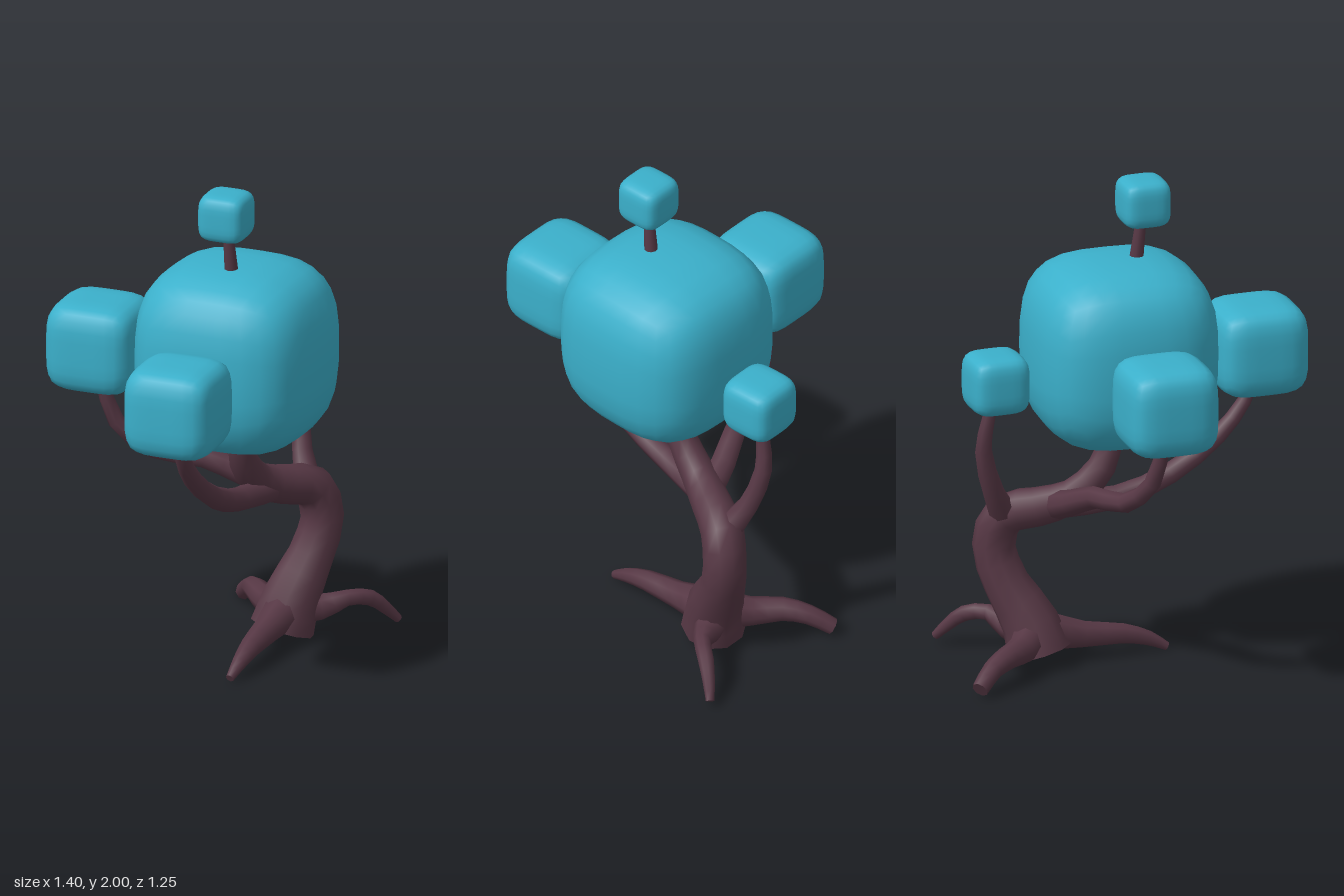
import * as THREE from 'three';
import { mergeVertices, toCreasedNormals } from 'three/addons/utils/BufferGeometryUtils.js';

const bark = new THREE.MeshStandardMaterial({ name: 'bark', color: 0x573845 });
const leaf = new THREE.MeshStandardMaterial({ name: 'leaf', color: 0x3bb0cb });

// Tapered tube through points [x, y, z, radius], capped at both ends
function limb(name, points, sides = 8) {
  const curve = new THREE.CatmullRomCurve3(points.map(p => new THREE.Vector3(p[0], p[1], p[2])));
  // Sample by control point so that the radii line up with the points
  curve.getPointAt = curve.getPoint;
  curve.getTangentAt = curve.getTangent;
  const spans = points.length - 1;
  const segments = spans * 2;
  const geo = new THREE.TubeGeometry(curve, segments, 1, sides);
  const pos = geo.attributes.position;
  const v = new THREE.Vector3();
  for (let i = 0; i <= segments; i++) {
    const center = curve.getPoint(i / segments);
    const k = Math.min(Math.floor(i / 2), spans - 1);
    const radius = THREE.MathUtils.lerp(points[k][3], points[k + 1][3], i / 2 - k);
    for (let j = 0; j <= sides; j++) {
      const n = i * (sides + 1) + j;
      v.fromBufferAttribute(pos, n).sub(center).multiplyScalar(radius).add(center);
      pos.setXYZ(n, v.x, v.y, v.z);
    }
  }
  const index = Array.from(geo.index.array);
  const last = segments * (sides + 1);
  for (let j = 1; j < sides - 1; j++) {
    index.push(0, j, j + 1, last, last + j + 1, last + j);
  }
  geo.setIndex(index);
  const mesh = new THREE.Mesh(toCreasedNormals(geo, 0.9), bark);
  mesh.name = name;
  return mesh;
}

// Soft cube: a box grid pushed out onto a superellipsoid
function foliage(name, center, width, height, power, degrees) {
  let geo = new THREE.BoxGeometry(2, 2, 2, 8, 8, 8);
  geo.deleteAttribute('uv');
  geo.deleteAttribute('normal');
  geo = mergeVertices(geo);
  const pos = geo.attributes.position;
  for (let i = 0; i < pos.count; i++) {
    const p = [pos.getX(i), pos.getY(i), pos.getZ(i)];
    const norm = Math.pow(p.reduce((s, c) => s + Math.pow(Math.abs(c), power), 0), 1 / power);
    pos.setXYZ(i, p[0] / norm * width / 2, p[1] / norm * height / 2, p[2] / norm * width / 2);
  }
  geo.computeVertexNormals();
  const mesh = new THREE.Mesh(geo, leaf);
  mesh.name = name;
  mesh.position.set(...center);
  mesh.rotation.y = THREE.MathUtils.degToRad(degrees);
  return mesh;
}

export function createModel() {
  const tree = new THREE.Group();
  tree.name = 'tree';

  // Bent trunk, running up through the crown to the top tuft
  tree.add(limb('trunk', [
    [0.21, 0.05, -0.13, 0.13], [0.25, 0.17, -0.13, 0.115], [0.345, 0.33, -0.15, 0.092],
    [0.395, 0.48, -0.155, 0.086], [0.35, 0.61, -0.15, 0.086], [0.22, 0.65, -0.12, 0.08],
    [0.09, 0.70, -0.08, 0.07], [-0.01, 0.82, -0.02, 0.058], [-0.04, 0.96, 0.01, 0.045],
    [-0.075, 1.30, 0.05, 0.038], [-0.105, 1.62, 0.085, 0.03], [-0.13, 1.85, 0.095, 0.02],
  ], 10));

  // Branches
  tree.add(limb('frontBranch', [
    [0.16, 0.66, -0.10, 0.06], [-0.05, 0.68, 0.03, 0.05], [-0.22, 0.76, 0.17, 0.045],
    [-0.37, 0.90, 0.29, 0.038], [-0.45, 1.03, 0.365, 0.03], [-0.48, 1.14, 0.40, 0.025],
  ]));
  tree.add(limb('backBranch', [
    [0.16, 0.66, -0.11, 0.06], [0.05, 0.71, -0.18, 0.052], [-0.08, 0.77, -0.24, 0.045],
    [-0.25, 0.80, -0.33, 0.04], [-0.39, 0.92, -0.385, 0.034], [-0.45, 1.12, -0.40, 0.025],
  ]));
  tree.add(limb('sideBranch', [
    [0.34, 0.60, -0.16, 0.06], [0.352, 0.73, -0.25, 0.043], [0.37, 0.92, -0.31, 0.035],
    [0.35, 1.05, -0.31, 0.028], [0.33, 1.15, -0.30, 0.024],
  ]));

  // Roots
  tree.add(limb('frontRoot', [
    [0.20, 0.13, -0.10, 0.08], [0.08, 0.10, 0.0, 0.055], [-0.04, 0.085, 0.11, 0.042],
    [-0.12, 0.055, 0.18, 0.03], [-0.18, 0.015, 0.225, 0.017],
  ]));
  tree.add(limb('sideRoot', [
    [0.25, 0.13, -0.13, 0.08], [0.36, 0.125, -0.09, 0.055], [0.46, 0.157, -0.06, 0.034],
    [0.56, 0.14, -0.065, 0.032], [0.63, 0.085, -0.07, 0.025], [0.685, 0.03, -0.07, 0.017],
  ]));
  tree.add(limb('backRoot', [
    [0.23, 0.13, -0.15, 0.08], [0.22, 0.105, -0.28, 0.058], [0.225, 0.11, -0.40, 0.048],
    [0.245, 0.09, -0.50, 0.04], [0.258, 0.035, -0.595, 0.034],
  ]));

  // Foliage
  tree.add(foliage('crown', [-0.06, 1.303, 0.03], 0.735, 0.75, 3.1, 41));
  tree.add(foliage('frontTuft', [-0.483, 1.26, 0.398], 0.367, 0.36, 4.6, 43));
  tree.add(foliage('backTuft', [-0.453, 1.26, -0.402], 0.367, 0.36, 4.6, 43));
  tree.add(foliage('sideTuft', [0.322, 1.213, -0.30], 0.235, 0.235, 4.6, 44));
  tree.add(foliage('topTuft', [-0.135, 1.905, 0.095], 0.193, 0.19, 4.6, 43));
  return tree;
}
